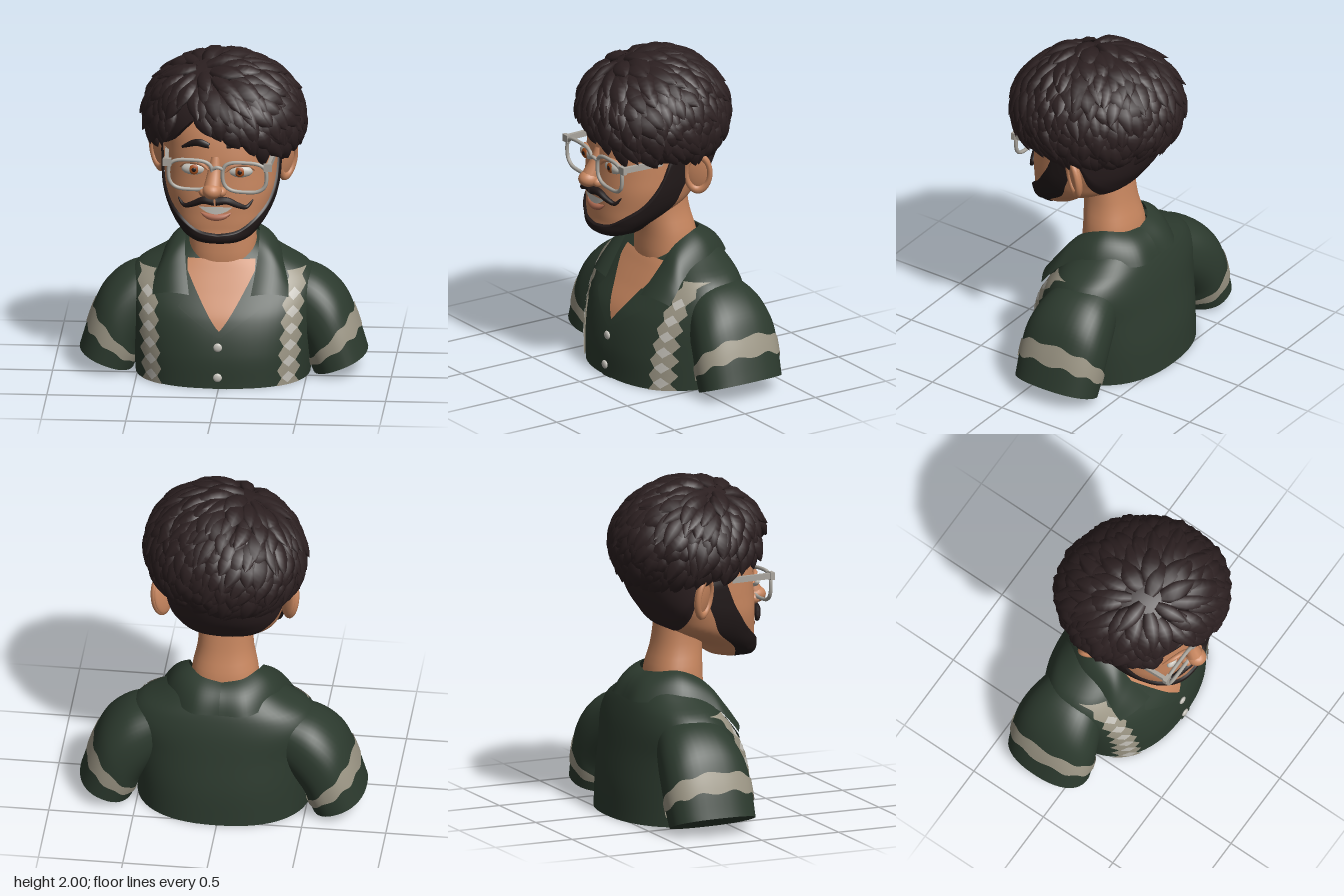
import * as THREE from 'three';
import { mergeGeometries } from 'three/addons/utils/BufferGeometryUtils.js';

const mat = (name, color) => new THREE.MeshStandardMaterial({ name, color, side: THREE.DoubleSide });
const V = (x, y, z) => new THREE.Vector3(x, y, z);
const N = 2.3; // roundness of body and head cross-sections

// Smooth interpolation of the columns in a table whose first column is the key
function at(rows, k) {
  k = Math.min(Math.max(k, rows[0][0]), rows[rows.length - 1][0]);
  let i = 0;
  while (i < rows.length - 2 && k > rows[i + 1][0]) i++;
  const a = rows[i], b = rows[i + 1], p = rows[i - 1] || a, q = rows[i + 2] || b;
  const h = b[0] - a[0], t = (k - a[0]) / h, t2 = t * t, t3 = t2 * t;
  return a.slice(1).map((_, j) => {
    const c = j + 1, ma = (b[c] - p[c]) / (b[0] - p[0]) * h, mb = (q[c] - a[c]) / (q[0] - a[0]) * h;
    return (2 * t3 - 3 * t2 + 1) * a[c] + (t3 - 2 * t2 + t) * ma + (3 * t2 - 2 * t3) * b[c] + (t3 - t2) * mb;
  });
}

// Grid surface from f(u, v); wrap joins the first and last column
function surf(f, nu, nv, wrap = false) {
  const pos = [], idx = [], cols = wrap ? nu : nu + 1;
  for (let j = 0; j <= nv; j++) for (let i = 0; i < cols; i++) pos.push(...f(i / nu, j / nv).toArray());
  for (let j = 0; j < nv; j++) for (let i = 0; i < nu; i++) {
    const a = j * cols + i, b = j * cols + (i + 1) % cols, c = a + cols, d = b + cols;
    idx.push(a, b, d, a, d, c);
  }
  const g = new THREE.BufferGeometry();
  g.setAttribute('position', new THREE.Float32BufferAttribute(pos, 3));
  g.setIndex(idx);
  g.computeVertexNormals();
  return g;
}

// Cross-section tables: height, half width, front z, back z
const TORSO = [[0, .515, .31, -.54], [.2, .53, .3, -.525], [.4, .55, .245, -.49], [.55, .565, .15, -.46],
  [.65, .5, .085, -.43], [.72, .38, .04, -.4], [.8, .24, -.03, -.35], [.84, .15, -.1, -.3]];
const NECK = [[.5, .19, .03, -.3], [.7, .2, .06, -.28], [.85, .195, .055, -.27], [1, .165, .06, -.23], [1.2, .16, .06, -.2]];
const HEAD = [[.89, 0, .28, .28], [.92, .14, .37, .13], [1, .23, .38, .04], [1.1, .295, .38, -.17], [1.2, .325, .38, -.25],
  [1.3, .335, .375, -.32], [1.45, .34, .365, -.38], [1.6, .345, .33, -.4], [1.75, .3, .25, -.36], [1.87, .12, .05, -.2]];
const pw = c => Math.sign(c) * Math.abs(c) ** (2 / N);

// Point round a section; angle t runs from the front towards +x
function ring(rows, t, y, off = 0) {
  const [rx, f, b] = at(rows, y);
  return V((Math.max(rx, 0) + off) * pw(Math.sin(t)), y, (f + b) / 2 + ((f - b) / 2 + off) * pw(Math.cos(t)));
}
function frontZ(rows, x, y) {
  const [rx, f, b] = at(rows, y);
  return (f + b) / 2 + (f - b) / 2 * (1 - Math.min(1, Math.abs(x / rx)) ** N) ** (1 / N);
}
const loft = (rows, nu, nv) => {
  const y0 = rows[0][0], y1 = rows[rows.length - 1][0];
  return surf((u, v) => ring(rows, u * Math.PI * 2, y0 + (y1 - y0) * v), nu, nv, true);
};
// Thin panel lying on the front of a body
const panel = (rows, y0, y1, xa, xb, off, nu = 8, nv = 24) => surf((u, v) => {
  const y = y0 + (y1 - y0) * v, x = xa(y) + (xb(y) - xa(y)) * u;
  return V(x, y, frontZ(rows, x, y) + off);
}, nu, nv);
// Tube whose radius follows a profile; sq flattens it
function taper(pts, r, sq = 1) {
  const c = new THREE.CatmullRomCurve3(pts);
  return surf((u, v) => {
    const T = c.getTangent(v), S = V(0, 0, 1).cross(T).normalize(), a = u * Math.PI * 2;
    return c.getPoint(v).addScaledVector(S, Math.cos(a) * r(v)).addScaledVector(T.cross(S), Math.sin(a) * r(v) * sq);
  }, 10, 24, true);
}

export function createModel() {
  const root = new THREE.Group();
  const skin = mat('skin', 0xc6855e), shirt = mat('shirt green', 0x2c3a2e), hair = mat('hair brown', 0x2c2021),
    beard = mat('beard brown', 0x211919), cream = mat('cream trim', 0x9c9685), white = mat('off white', 0xc4c1b9),
    frame = mat('glasses grey', 0xa9a59d), iris = mat('iris amber', 0xa8521f), lip = mat('lip', 0xb26d54);
  const add = (name, geo, m, parent = root) => {
    const o = new THREE.Mesh(geo, m);
    o.name = name;
    parent.add(o);
    return o;
  };
  const ball = (name, m, p, s) => {
    const o = add(name, new THREE.SphereGeometry(1, 24, 16), m);
    o.position.set(...p);
    o.scale.set(...s);
    return o;
  };

  // Shirt body, base and neck
  add('shirtBody', loft(TORSO, 64, 40), shirt);
  add('shirtBase', surf((u, v) => ring(TORSO, u * Math.PI * 2, 0).lerp(V(0, 0, -.1), 1 - v), 64, 1, true), shirt);
  add('neck', loft(NECK, 40, 16), skin);
  const vee = y => .2 * Math.min(1, Math.max(0, (y - .34) / .32)) ** .85;
  add('openNeckSkin', panel(TORSO, .34, .72, y => -vee(y), vee, .008, 14, 24), skin);
  add('placket', panel(TORSO, 0, .33, () => -.035, () => .05, .007), shirt);
  for (const y of [.25, .07]) ball('button', white, [-.005, y, frontZ(TORSO, 0, y) + .012], [.026, .026, .012]);

  const SLEEVE = [[0, .3, .35, .4, .66, 0, -.38], [.25, .42, .22, .57, .61, .05, -.43], [.5, .48, .13, .7, .5, .08, -.45],
    [.75, .5, .07, .78, .34, .09, -.45], [1, .53, 0, .85, .12, .09, -.44]];
  const lapelOut = y => Math.max(vee(y), y < .47 ? .25 * (y - .3) / .17 : .25 - .06 * (y - .47) / .07);
  const inner = new THREE.CatmullRomCurve3([V(0, .84, -.29), V(.12, .855, -.26), V(.2, .865, -.16), V(.215, .8, -.02), V(.205, .68, .075), V(.18, .53, .185)]);
  const outer = new THREE.CatmullRomCurve3([V(0, .7, -.425), V(.17, .7, -.415), V(.33, .72, -.22), V(.37, .66, 0), V(.395, .58, .08), V(.4, .515, .13)]);
  for (const s of [1, -1]) {
    // Sleeves with a wavy band near the hem
    const sleeve = (a, v, k = 1) => {
      const [ix, iy, ox, oy, f, b] = at(SLEEVE, v), c = pw(Math.cos(a)) * k / 2, d = pw(Math.sin(a)) * k / 2;
      return V(s * ((ix + ox) / 2 + (ox - ix) * c), (iy + oy) / 2 + (oy - iy) * c, (f + b) / 2 + (f - b) * d);
    };
    const A = Math.PI * 2;
    add('sleeve', surf((u, v) => sleeve(u * A, v), 40, 24, true), shirt);
    add('sleeveOpening', surf((u, v) => sleeve(u * A, 1, v), 40, 2, true), shirt);
    add('sleeveBand', surf((u, v) => sleeve(u * A, .7 + .14 * v + .012 * Math.sin(u * A * 9 + v * 2), 1.025), 96, 4, true), cream);

    // Collar fold and lapel
    add('collar', surf((u, v) => {
      const p = inner.getPoint(u).lerp(outer.getPoint(u), v), b = Math.sin(Math.PI * Math.min(1, v * .85 + .1)) * .035;
      return p.add(V(p.x * .8, .5, (p.z + .15) * 1.5).normalize().multiplyScalar(b)).multiply(V(s, 1, 1));
    }, 36, 10), shirt);
    add('lapel', panel(TORSO, .31, .56, y => s * vee(y), y => s * lapelOut(y), .022), shirt);

    // Chest stripe: jagged ribbon with pale diamonds
    const mid = y => s * (.4 + .06 * y), zig = y => .036 + .028 * Math.abs(((y * 10.5) % 1) * 2 - 1);
    add('chestStripe', panel(TORSO, .002, .65, y => mid(y) - zig(y), y => mid(y) + zig(y), .012, 6, 96), cream);
    for (let i = 0; i < 6; i++) {
      const y = .05 + i * .096, w = h => Math.max(0, .035 - Math.abs(h - y));
      add('stripeDiamond', panel(TORSO, y - .035, y + .035, h => mid(h) - w(h), h => mid(h) + w(h), .017, 4, 8), white);
    }
  }

  // Head and beard
  add('head', loft(HEAD, 56, 60), skin);
  const BEARD = [[0, .975], [30, 1], [50, 1.07], [65, 1.15], [75, 1.27], [81, 1.44], [98, 1.44]];
  add('beard', surf((u, v) => {
    const deg = (u * 2 - 1) * 98, y = .888 + (at(BEARD, Math.abs(deg))[0] - .888) * v;
    return ring(HEAD, deg * Math.PI / 180, y, .018 * Math.min(1, v * 6) * Math.min(1, (1 - v) * 8 + .25));
  }, 80, 28), beard);
  const NAPE = [[0, 1.1], [35, 1.12], [60, 1.22], [80, 1.38]];
  add('napeHair', surf((u, v) => {
    const deg = (u * 2 - 1) * 80, y0 = at(NAPE, Math.abs(deg))[0];
    return ring(HEAD, Math.PI + deg * Math.PI / 180, y0 + (1.5 - y0) * v, .03 * Math.min(1, v * 5 + .2));
  }, 40, 16), hair);

  // Facial features
  const face = (x, y, off = 0) => V(x, y, frontZ(HEAD, x, y) + off);
  ball('noseTip', skin, [-.03, 1.25, .415], [.058, .05, .066]);
  add('noseBridge', taper([V(-.015, 1.44, .35), V(-.02, 1.35, .37), V(-.03, 1.26, .41)], v => .028 + .024 * v), skin);
  add('teeth', surf((u, v) => {
    const k = u * 2 - 1;
    return face(-.01 + k * .1, 1.122 + .02 * k * k + (v - .5) * .045 * (1 - k * k), .016);
  }, 20, 4), white);
  add('lowerLip', taper([-.1, -.06, -.01, .04, .08].map((x, i) => face(x, [1.105, 1.085, 1.078, 1.085, 1.105][i], .006)),
    v => .022 * Math.sin(Math.PI * (.05 + .9 * v))), lip);
  for (const s of [1, -1]) {
    const cx = s * .135 - .005, roll = x => -.04 * x;
    add('moustache', taper([face(-.015 + s * .005, 1.18, .02), face(-.015 + s * .07, 1.185, .022), face(-.015 + s * .135, 1.155, .02),
      face(-.015 + s * .185, 1.14, .02), face(-.015 + s * .222, 1.18, .02)], v => .024 * (1 - v) ** .7 + .003), beard);
    add('eyebrow', taper([face(s * .05, 1.51, .01), face(s * .12, 1.525, .01), face(s * .215, 1.485, .01)],
      v => .005 + .018 * Math.sin(Math.PI * (.2 + .75 * v)), .7), beard);
    ball('noseWing', skin, [-.03 + s * .052, 1.235, .385], [.03, .03, .035]);
    const z = frontZ(HEAD, cx, 1.36);
    ball('eyeball', white, [cx, 1.36 + roll(cx), z - .005], [.076, .038, .032]);
    ball('iris', iris, [cx, 1.36 + roll(cx), z + .019], [.03, .03, .011]);
    ball('pupil', beard, [cx, 1.36 + roll(cx), z + .027], [.014, .014, .006]);
    add('upperEyelid', taper([-.085, -.045, 0, .045, .085].map((d, i) =>
      V(cx + d, [1.362, 1.395, 1.405, 1.395, 1.362][i] + roll(cx), frontZ(HEAD, cx + d, 1.38) + .012)), v => .006 + .009 * Math.sin(Math.PI * v)), skin);

    // Ears
    const ear = new THREE.Group();
    ear.name = 'ear';
    ear.position.set(s * .37, 1.33 - s * .02, -.09);
    ear.rotation.set(0, -.6 * s, -.14 * s);
    root.add(ear);
    add('earShell', new THREE.SphereGeometry(1, 20, 14), skin, ear).scale.set(.026, .125, .08);
    const rim = add('earRim', new THREE.TorusGeometry(.085, .02, 10, 32), skin, ear);
    rim.rotation.y = Math.PI / 2;
    rim.scale.set(.82, 1.32, 1);
    rim.position.x = s * .014;

    // Glasses
    const gx = s * .16, loop = [];
    for (let i = 0; i < 32; i++) {
      const a = i / 32 * Math.PI * 2, c = Math.cos(a), d = Math.sin(a), sq = q => Math.sign(q) * Math.abs(q) ** .6;
      const x = gx + sq(c) * .13 * (d < 0 ? 1 + d * .12 : 1);
      loop.push(V(x, 1.335 + sq(d) * .09 + roll(x), .395));
    }
    add('lensRim', new THREE.TubeGeometry(new THREE.CatmullRomCurve3(loop, true), 64, .0115, 8, true), frame);
    const hinge = 1.405 + roll(s * .3);
    const arm = add('templeArm', new THREE.BoxGeometry(.022, .035, .46), frame);
    arm.position.set(s * .312, hinge, .175);
    arm.rotation.y = -.05 * s;
    add('hinge', new THREE.BoxGeometry(.05, .045, .025), frame).position.set(s * .297, hinge, .395);
  }
  add('glassesBridge', new THREE.TubeGeometry(new THREE.CatmullRomCurve3([V(-.035, 1.375, .395), V(0, 1.39, .405), V(.035, 1.375, .395)]), 12, .011, 8), frame);

  // Hair: a cap cut along the hairline, covered with swept locks
  const LINE = [[-180, 1.38], [-110, 1.42], [-75, 1.45], [-50, 1.52], [-36, 1.62], [-26, 1.68], [-8, 1.62], [20, 1.51], [45, 1.43], [90, 1.4], [180, 1.38]];
  const shell = (d, k) => V(.015 + d.x * .44 * k + .12 * d.z * .45 * k, 1.6 + d.y * .35 * k, d.z * .45 * k);
  const capDir = (u, v) => {
    const deg = u * 360 - 180, a = deg * Math.PI / 180, low = Math.asin((at(LINE, deg)[0] - 1.6) / .35);
    const e = Math.PI / 2 + (low - Math.PI / 2) * v;
    return V(Math.sin(a) * Math.cos(e), Math.sin(e), Math.cos(a) * Math.cos(e));
  };
  add('hairCap', surf((u, v) => shell(capDir(u, v), 1), 72, 20, true), hair);
  add('hairUnderside', surf((u, v) => {
    const p = shell(capDir(u, 1), 1), c = V(0, p.y, -.02);
    return p.lerp(c, v * .4);
  }, 72, 3, true), hair);
  let seed = 7;
  const rnd = () => (seed = (seed * 16807) % 2147483647) / 2147483647;
  const crown = V(-.3, .9, .25).normalize(), locks = [], count = 430;
  for (let i = 0; i < count; i++) {
    const y = 1 - 1.5 * i / count, r = Math.sqrt(1 - y * y), a = i * 2.39996;
    const d = V(Math.sin(a) * r, y, Math.cos(a) * r), flow = d.clone().sub(crown);
    flow.addScaledVector(d, -flow.dot(d)).normalize();
    const len = .42 + .25 * rnd(), flare = .05 + .09 * rnd(), curl = (rnd() - .5) * .09, w = .045 + .022 * rnd();
    const dir = v => d.clone().addScaledVector(flow, len * v).normalize();
    const path = v => shell(dir(v), 1 + .03 * Math.sin(Math.PI * v) + flare * v ** 3);
    const tip = path(1), deg = Math.atan2(tip.x, tip.z) * 180 / Math.PI;
    if (tip.y < at(LINE, deg)[0] - .05 + .03 * rnd()) continue;
    locks.push(surf((u, v) => {
      const q = dir(v), T = path(v + .02).sub(path(v - .02)).normalize(), B = T.clone().cross(q).normalize();
      const k = Math.max(0, Math.sin(Math.PI * (.15 + .85 * v))) ** .8, t = u * Math.PI * 2;
      return path(v).addScaledVector(B, Math.cos(t) * w * k + curl * v * v).addScaledVector(q, Math.sin(t) * w * .55 * k);
    }, 7, 7, true));
  }
  add('hairLocks', mergeGeometries(locks), hair);
  return root;
}
